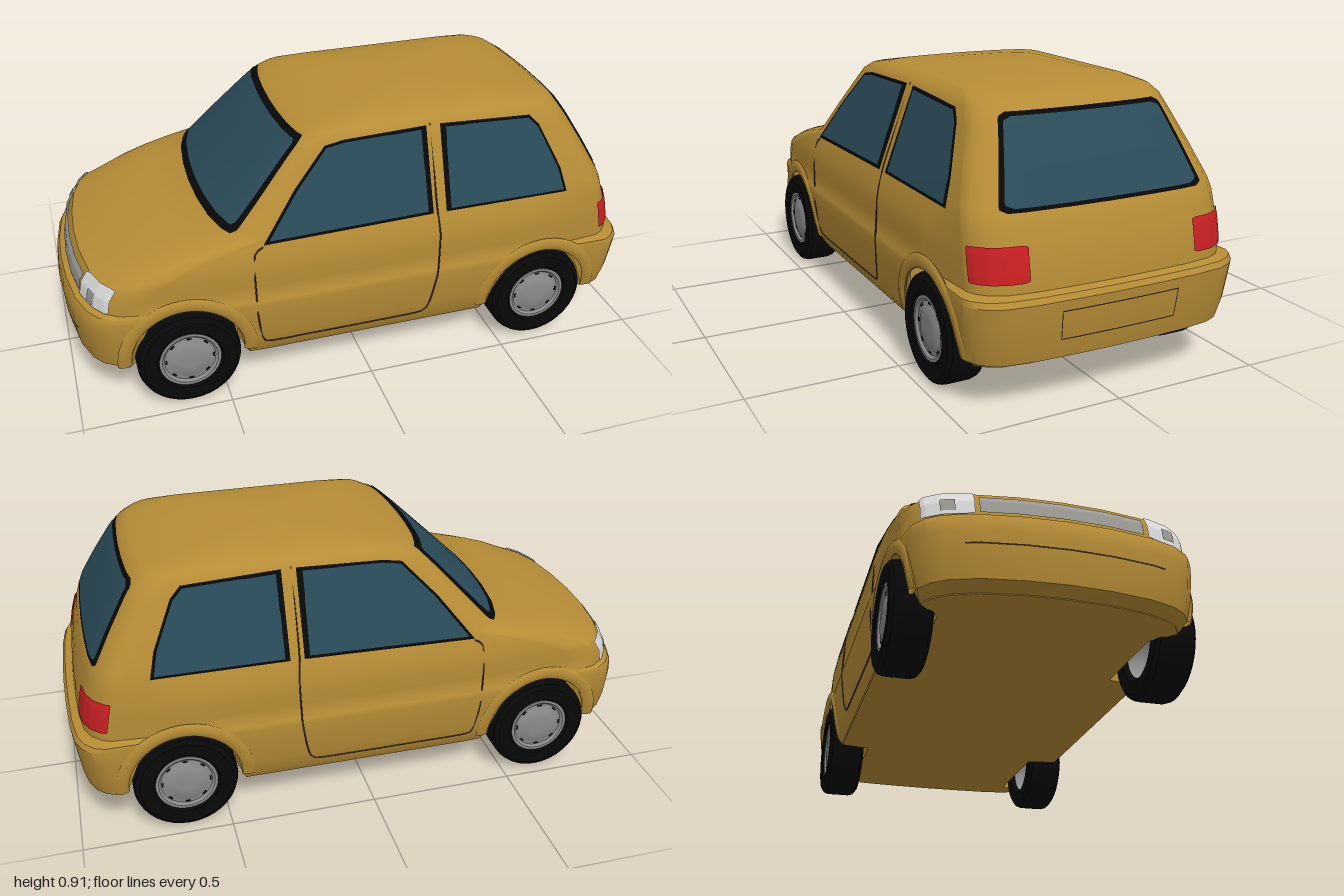
import * as THREE from 'three';
import { toCreasedNormals } from 'three/addons/utils/BufferGeometryUtils.js';

const mat = (name, color) => {
  const m = new THREE.MeshStandardMaterial({ color, side: THREE.DoubleSide });
  m.name = name;
  return m;
};

// Horizontal slices of the body: height, front x, rear x, half width, front bow
const LEVELS = [
  [.135, -.95, .92, .43, 1], [.16, -.985, .972, .445, 1], [.22, -.995, .985, .458, 1],
  [.3, -1, .995, .466, 1], [.345, -.995, 1, .47, 1], [.362, -.985, .99, .468, 1],
  [.37, -.965, .965, .463, 1], [.42, -.955, .96, .463, 1], [.46, -.93, .952, .463, 1],
  [.485, -.87, .947, .462, 1], [.51, -.81, .94, .458, .95], [.535, -.73, .932, .452, .9],
  [.56, -.63, .925, .445, .85], [.582, -.525, .915, .437, .8], [.6, -.5, .905, .431, .78],
  [.7, -.395, .85, .395, .64], [.8, -.29, .79, .358, .5], [.85, -.235, .755, .34, .43],
  [.875, -.19, .72, .322, .42], [.893, -.09, .63, .287, .45], [.905, .05, .5, .2, .45],
  [.912, .2, .3, .08, .2], [.913, .249, .251, .001, 0],
];
const ZF = [0, .3, .6, .8, .9, .97, 1];              // width fractions round a corner
const DF = [0, .006, .025, .055, .085, .13, .2];     // setback at the front corner
const DR = [0, .002, .008, .02, .04, .07, .1];       // setback at the rear corner
const SIDE = 90, N = SIDE + 12;
const AXLES = [-.625, .64], HUB_Y = .175, ARCH_R = .19;
const { lerp, clamp } = THREE.MathUtils;

function slice(y) {
  let i = 0;
  while (i < LEVELS.length - 2 && y > LEVELS[i + 1][0]) i++;
  const a = LEVELS[i], b = LEVELS[i + 1];
  const t = clamp((y - a[0]) / (b[0] - a[0]), 0, 1);
  return a.map((v, j) => lerp(v, b[j], t));
}

// The body narrows towards the nose, and at the tail between bumper and windows
function taper(x, y) {
  const nose = .06 * clamp((-.36 - x) / .45, 0, 1);
  const tail = .05 * clamp((x - .6) / .28, 0, 1) * clamp((y - .362) / .008, 0, 1) * clamp((.6 - y) / .1, 0, 1);
  return 1 - nose - tail;
}
const sideZ = (x, y) => slice(y)[3] * taper(x, y);

function archHeight(x) {
  for (const c of AXLES) {
    const d = Math.abs(x - c);
    if (d < ARCH_R) return HUB_Y + Math.sqrt(ARCH_R * ARCH_R - d * d);
  }
  return 0;
}

// Body surface: s runs from the nose centre (0) round the +z side to the tail centre (N)
function surface(y, s) {
  if (s < 0) return surface(y, -s).multiply(new THREE.Vector3(1, 1, -1));
  if (s > N) return surface(y, 2 * N - s).multiply(new THREE.Vector3(1, 1, -1));
  const [, f, r, , k] = slice(y);
  const at = (list, p) => {
    const i = Math.min(5, Math.floor(p));
    return lerp(list[i], list[i + 1], p - i);
  };
  const kr = Math.min(1, (r - f) * 1.5);
  let x = lerp(f + .2 * k, r - .1 * kr, (s - 6) / SIDE), zf = 1;
  if (s < 6) {
    x = f + at(DF, s) * k;
    zf = at(ZF, s);
  } else if (s > N - 6) {
    x = r - at(DR, N - s) * kr;
    zf = at(ZF, N - s);
  }
  return new THREE.Vector3(x, y, zf * sideZ(x, y));
}

function gridGeometry(rows, cols, point) {
  const pos = [], idx = [];
  for (let j = 0; j <= rows; j++) for (let i = 0; i <= cols; i++) {
    pos.push(...point(i, j).toArray());
    if (i < cols && j < rows) {
      const a = j * (cols + 1) + i, d = a + cols + 1;
      idx.push(a, a + 1, d + 1, a, d + 1, d);
    }
  }
  const g = new THREE.BufferGeometry();
  g.setAttribute('position', new THREE.Float32BufferAttribute(pos, 3));
  g.setIndex(idx);
  g.computeVertexNormals();
  return g;
}

// Thin panel lying just off the body surface; round trims its corners
function patch(y0, y1, s0, s1, off, round = 0) {
  return gridGeometry(24, 32, (i, j) => {
    const end = Math.max(0, Math.abs(j / 12 - 1) - .85) / .15;
    const inset = round * (1 - Math.sqrt(1 - Math.min(1, end * end)));
    const y = lerp(y0, y1, j / 24), s = lerp(s0 + inset, s1 - inset, i / 32);
    const p = surface(y, s);
    const ds = surface(y, s + .05).sub(surface(y, s - .05));
    const dy = surface(y + .005, s).sub(surface(y - .005, s));
    return p.addScaledVector(ds.cross(dy).normalize(), off);
  });
}

export function createModel() {
  const car = new THREE.Group();
  car.name = 'hatchback';
  const paint = mat('gold paint', 0xb68c36), glass = mat('blue glass', 0x2a4b59);
  const black = mat('black rubber', 0x080808), red = mat('red lamp', 0xc92022);
  const metal = mat('wheel grey', 0x8b8b8b), white = mat('lamp white', 0xdadada);
  const silver = mat('grille grey', 0x9c9a94), dark = mat('seam brown', 0x3a2c10);
  const add = (name, geo, m, parent = car) => {
    const mesh = new THREE.Mesh(geo, m);
    mesh.name = name;
    parent.add(mesh);
    return mesh;
  };

  // Body shell with the wheel arches cut by lifting the lower edge
  const shell = gridGeometry(LEVELS.length - 1, 2 * N, (i, j) => {
    const s = i - N, p = surface(LEVELS[j][0], s);
    const h = archHeight(p.x);
    if (h > p.y && Math.abs(s) > 4 && Math.abs(s) < N - 4) {
      p.y = h;
      p.z = Math.sign(s) * sideZ(p.x, h);
    }
    return p;
  });
  add('bodyShell', toCreasedNormals(shell, .6), paint);

  // Floor pan, notched for the wheels
  const plan = [];
  for (let s = -N; s < N; s++) {
    const p = surface(.135, s);
    const z = archHeight(p.x) ? clamp(p.z, -.325, .325) : p.z * .995;
    plan.push(new THREE.Vector2(p.x, z));
  }
  const pan = new THREE.ExtrudeGeometry(new THREE.Shape(plan), { depth: .235, bevelEnabled: false });
  pan.rotateX(Math.PI / 2).translate(0, .367, 0);
  add('floorPan', pan, paint);

  // Windscreen and rear window, each a black surround and a pane
  add('windscreenSurround', patch(.588, .86, -4.1, 4.1, .003, .25), black);
  add('windscreen', patch(.605, .848, -3.65, 3.65, .006, .25), glass);
  add('rearWindowSurround', patch(.59, .846, N - 3.15, N + 3.15, .003, .35), black);
  add('rearWindow', patch(.6, .834, N - 2.9, N + 2.9, .006, .35), glass);

  // Lamps, grille and bumper details
  for (const m of [1, -1]) {
    const ends = (a, b) => (m > 0 ? [a, b] : [-b, -a]);
    add('headlight', patch(.37, .46, ...ends(2, 4.3), .006, .25), white);
    add('headlightReflector', patch(.385, .425, ...ends(2.6, 3.1), .009), silver);
    add('tailLight', patch(.4, .505, ...ends(N - 5.7, N - 2.25), .006, .2), red);
  }
  add('grille', patch(.38, .44, -1.9, 1.9, .004), silver);
  add('bumperSlot', patch(.26, .265, -2.4, 2.4, .003), dark);
  for (const [y0, y1, a, b] of [[.312, .315, -1.45, 1.45], [.222, .225, -1.45, 1.45],
    [.222, .315, -1.45, -1.43], [.222, .315, 1.43, 1.45]]) {
    add('plateRecessEdge', patch(y0, y1, N + a, N + b, .003), dark);
  }

  // Side windows and door seams, mirrored
  const windows = {
    frontSideWindow: [[-.36, .566], [.228, .577], [.228, .857], [-.06, .85], [-.125, .84], [-.24, .72]],
    rearSideWindow: [[.275, .577], [.725, .577], [.705, .66], [.635, .81], [.6, .845], [.277, .857]],
  };
  const sidePane = (pts, scale, off, m) => {
    const c = pts.reduce((q, p) => [q[0] + p[0] / pts.length, q[1] + p[1] / pts.length], [0, 0]);
    const g = new THREE.ShapeGeometry(new THREE.Shape(pts.map(p => new THREE.Vector2(
      c[0] + (p[0] - c[0]) * scale, c[1] + (p[1] - c[1]) * scale))));
    const a = g.attributes.position;
    for (let i = 0; i < a.count; i++) a.setZ(i, m * (sideZ(a.getX(i), a.getY(i)) + off));
    if (m < 0) g.setIndex([...g.index.array].reverse());
    g.computeVertexNormals();
    return g;
  };
  const seam = [[-.36, .56], [-.39, .54], [-.395, .45], [-.39, .3], [-.365, .185], [-.2, .18], [.19, .182],
    [.225, .23], [.245, .35], [.25, .5], [.243, .6], [.243, .86]];
  for (const m of [1, -1]) {
    for (const [name, pts] of Object.entries(windows)) {
      add(name + 'Surround', sidePane(pts, 1, .004, m), black);
      add(name, sidePane(pts, .935, .007, m), glass);
    }
    const curve = new THREE.CatmullRomCurve3(seam.map(([x, y]) =>
      new THREE.Vector3(x, y, m * sideZ(x, y))), false, 'catmullrom', .2);
    add('doorSeam', new THREE.TubeGeometry(curve, 80, .0028, 5), dark);
  }

  // Flared arch lip that follows the side of the body
  const archLip = (axle, m) => {
    const g = new THREE.TorusGeometry(.211, .024, 8, 40, Math.PI * 1.04);
    g.rotateZ(-Math.PI * .02).scale(1, 1, .4).translate(axle, HUB_Y, 0);
    const a = g.attributes.position;
    for (let i = 0; i < a.count; i++) {
      a.setZ(i, a.getZ(i) + m * (sideZ(a.getX(i), Math.min(.345, a.getY(i))) - .003));
    }
    g.computeVertexNormals();
    return g;
  };

  // Wheels
  const ring = pts => new THREE.LatheGeometry(pts.map(p => new THREE.Vector2(...p)), 36).rotateX(Math.PI / 2);
  const tyre = toCreasedNormals(ring([[.1, -.05], [.112, -.064], [.155, -.066], [.17, -.055], [.175, -.04],
    [.175, .04], [.17, .055], [.155, .066], [.112, .064], [.1, .05]]), .6);
  const rim = toCreasedNormals(ring([[.104, -.055], [.098, .045], [.104, .058], [.094, .058], [.086, .05],
    [.07, .051], [.062, .056], [.03, .058], [.0001, .058]]), .5);
  for (const x of AXLES) for (const m of [1, -1]) {
    const wheel = new THREE.Group();
    wheel.name = 'wheel';
    wheel.position.set(x, HUB_Y, m * .404);
    if (m < 0) wheel.rotation.y = Math.PI;
    add('tyre', tyre, black, wheel);
    add('rim', rim, metal, wheel);
    for (let i = 0; i < 8; i++) {
      const a = i * Math.PI / 4;
      const slot = add('rimSlot', new THREE.BoxGeometry(.006, .016, .006), black, wheel);
      slot.position.set(Math.cos(a) * .08, Math.sin(a) * .08, .049);
      slot.rotation.z = a;
    }
    car.add(wheel);
    add('archLip', archLip(x, m), paint);
  }
  return car;
}
